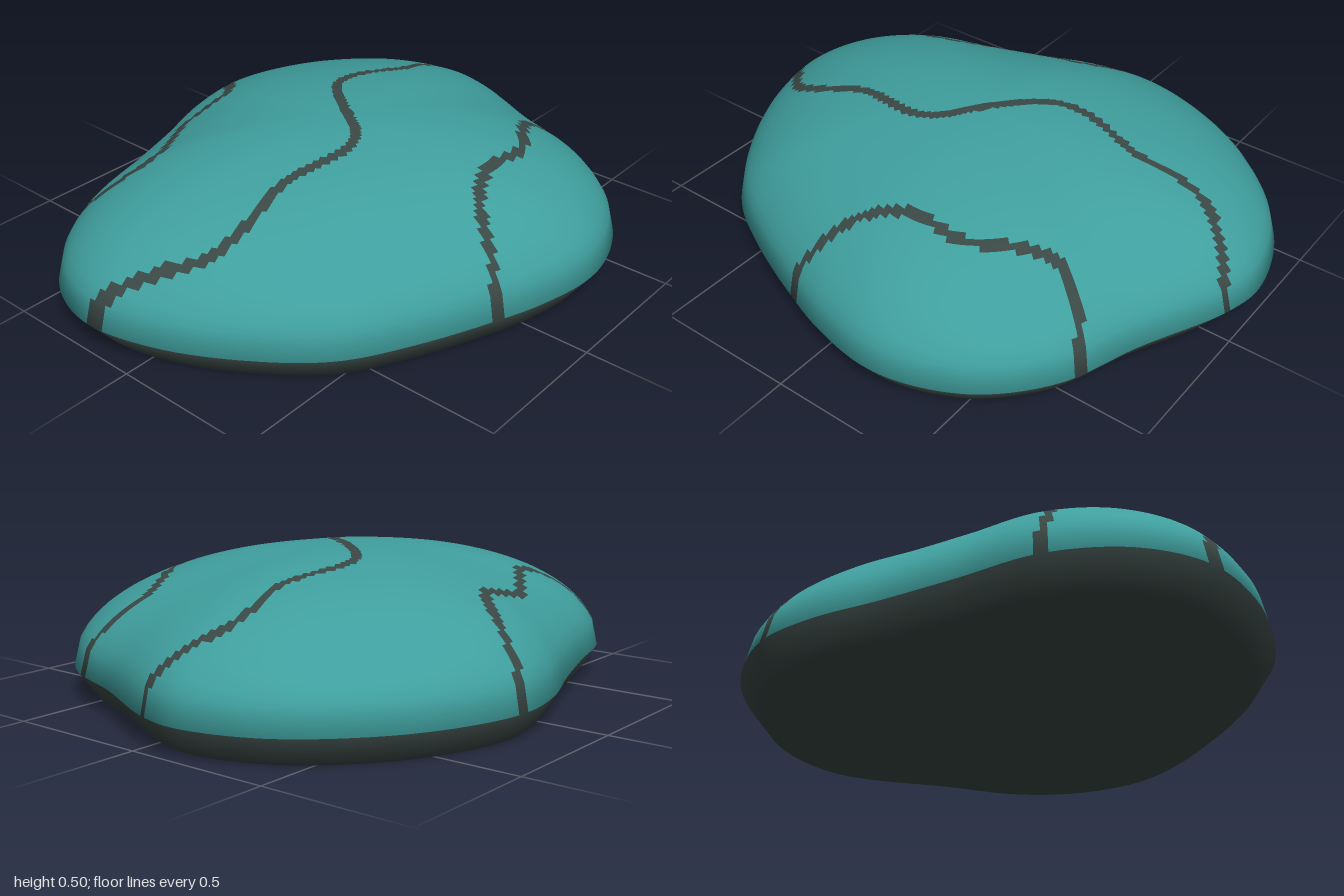
import * as THREE from 'three';

const RINGS = 44, SEGS = 256, VEIN_HALF_WIDTH = 0.018;
const RIM_Y = 0.1, TOP_Y = 0.5, FOOT_SCALE = 0.918;

// Smooth curve through [x, z] pairs in plan
const planCurve = (pairs, closed) => new THREE.CatmullRomCurve3(
  pairs.map(([x, z]) => new THREE.Vector3(x, 0, z)), closed, 'centripetal');

// Plan outline of the stone at its widest level
const OUTLINE = [
  [-0.18, -1], [-0.02, -0.975], [0.29, -0.835], [0.56, -0.73], [0.745, -0.565],
  [0.84, -0.37], [0.862, -0.21], [0.825, 0], [0.76, 0.185], [0.655, 0.425],
  [0.53, 0.635], [0.345, 0.795], [0.08, 0.94], [-0.18, 0.995], [-0.395, 0.925],
  [-0.565, 0.74], [-0.66, 0.45], [-0.74, 0.21], [-0.83, -0.03], [-0.862, -0.24],
  [-0.815, -0.45], [-0.685, -0.69], [-0.445, -0.915],
];

// Plan paths of the three veins
const VEINS = [
  [[0, -0.99], [-0.01, -0.965], [-0.165, -0.79], [-0.18, -0.68], [-0.15, -0.53], [-0.205, -0.29],
    [-0.18, -0.185], [-0.025, -0.04], [0.12, 0.07], [0.155, 0.16], [0.115, 0.4],
    [0.135, 0.635], [0.11, 0.74], [-0.025, 0.875], [-0.15, 0.99]],
  [[0.5, -0.77], [0.37, -0.6], [0.4, -0.5], [0.505, -0.32], [0.51, -0.13],
    [0.575, 0.01], [0.675, 0.09], [0.775, 0.17]],
  [[-0.87, -0.27], [-0.685, -0.14], [-0.575, -0.03], [-0.555, 0.195], [-0.415, 0.45],
    [-0.415, 0.545], [-0.475, 0.66], [-0.58, 0.735]],
];

export function createModel() {
  const teal = new THREE.MeshStandardMaterial({ color: 0x3f9f9e });
  teal.name = 'teal';
  const charcoal = new THREE.MeshStandardMaterial({ color: 0x3a4845 });
  charcoal.name = 'charcoal';

  const rim = planCurve(OUTLINE, true).getSpacedPoints(SEGS).slice(0, SEGS);
  const veinPoints = VEINS.flatMap((v) => planCurve(v, false).getSpacedPoints(200));

  // Cross-sections: dome rings from the apex to the rim, then the foot
  const positions = [0, TOP_Y, 0];
  const addRing = (scale, y) => rim.forEach((p) => positions.push(p.x * scale, y, p.z * scale));
  for (let r = 1; r <= RINGS; r++) {
    const t = r / RINGS;
    addRing(t, RIM_Y + (TOP_Y - RIM_Y) * Math.sqrt(1 - t * t));
  }
  addRing(FOOT_SCALE, 0);
  const baseCentre = positions.length / 3;
  positions.push(0, 0, 0);

  const vertex = (ring, s) => (ring === 0 ? 0 : 1 + (ring - 1) * SEGS + (s % SEGS));
  const onVein = (ring, s) => {
    const t = (ring + 0.5) / RINGS;
    const a = rim[s], b = rim[(s + 1) % SEGS];
    const x = (a.x + b.x) / 2 * t, z = (a.z + b.z) / 2 * t;
    return veinPoints.some((p) => Math.hypot(p.x - x, p.z - z) < VEIN_HALF_WIDTH);
  };

  // Sort the faces into shell, veins and underside
  const shell = [], veins = [], underside = [];
  for (let ring = 0; ring <= RINGS; ring++) {
    for (let s = 0; s < SEGS; s++) {
      const list = ring === RINGS ? underside : onVein(ring, s) ? veins : shell;
      const a = vertex(ring, s), b = vertex(ring, s + 1);
      const c = vertex(ring + 1, s), d = vertex(ring + 1, s + 1);
      list.push(a, d, c);
      if (ring > 0) list.push(a, b, d);
    }
  }
  for (let s = 0; s < SEGS; s++) {
    underside.push(baseCentre, vertex(RINGS + 1, s), vertex(RINGS + 1, s + 1));
  }

  // One set of smooth normals keeps the parts seamless
  const whole = new THREE.BufferGeometry();
  whole.setAttribute('position', new THREE.Float32BufferAttribute(positions, 3));
  whole.setIndex([...shell, ...veins, ...underside]);
  whole.computeVertexNormals();

  const group = new THREE.Group();
  group.name = 'stone';
  const addPart = (name, index, material) => {
    const geometry = new THREE.BufferGeometry();
    geometry.setAttribute('position', whole.getAttribute('position'));
    geometry.setAttribute('normal', whole.getAttribute('normal'));
    geometry.setIndex(index);
    const mesh = new THREE.Mesh(geometry, material);
    mesh.name = name;
    group.add(mesh);
  };
  addPart('domeSurface', shell, teal);
  addPart('veins', veins, charcoal);
  addPart('underside', underside, charcoal);
  return group;
}
